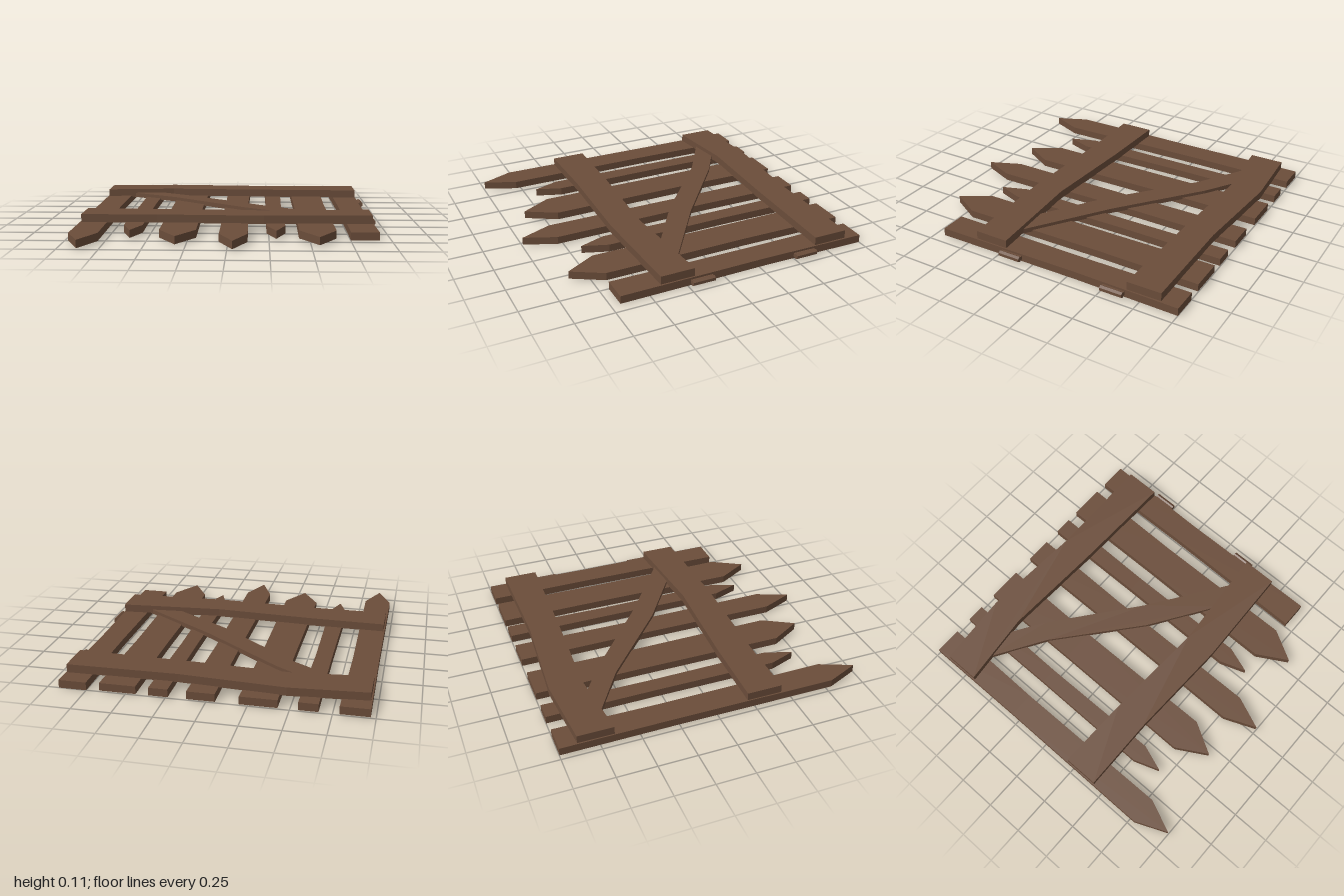
import * as THREE from 'three';

export function createModel() {
  const gate = new THREE.Group();
  gate.name = 'woodenGate';
  const wood = new THREE.MeshStandardMaterial({ color: 0x6b4d3a });
  wood.name = 'brownWood';

  // Flat board lying down: outline as [x, z] pairs, from height y0 to y1
  function board(name, outline, y0, y1) {
    const shape = new THREE.Shape(outline.map(([x, z]) => new THREE.Vector2(x, -z)));
    const geo = new THREE.ExtrudeGeometry(shape, { depth: y1 - y0, bevelEnabled: false });
    geo.rotateX(-Math.PI / 2).translate(0, y0, 0);
    const mesh = new THREE.Mesh(geo, wood);
    mesh.name = name;
    gate.add(mesh);
  }

  // Pointed pickets, slightly waisted: left edge, right edge, shoulder z, tip z
  const pickets = [
    [-0.97, -0.79, 0.785, 0.995],
    [-0.67, -0.55, 0.52, 0.69],
    [-0.43, -0.2, 0.67, 0.87],
    [-0.055, 0.12, 0.785, 0.995],
    [0.235, 0.355, 0.52, 0.69],
    [0.435, 0.665, 0.67, 0.87],
  ];
  pickets.forEach(([a, b, shoulder, tip], i) => {
    board('picket' + (i + 1), [
      [a, -1], [a + 0.004, -0.3], [a, shoulder], [(a + b) / 2, tip],
      [b, shoulder], [b - 0.009, -0.3], [b, -1],
    ], 0.01, 0.06);
  });

  // Square-ended board on the hinge side
  board('hingeBoard', [
    [0.75, -1], [0.757, -0.3], [0.752, 0.69], [0.927, 0.69], [0.917, -0.3], [0.927, -1],
  ], 0.003, 0.054);

  // Crooked cross rails and the diagonal brace
  board('rearRail', [
    [-0.96, -0.89], [-0.47, -0.925], [0.2, -0.88], [0.917, -0.887],
    [0.917, -0.66], [0.2, -0.68], [-0.47, -0.712], [-0.96, -0.66],
  ], 0.057, 0.111);
  board('frontRail', [
    [-0.96, 0.2], [-0.47, 0.212], [0.22, 0.25], [0.917, 0.2],
    [0.917, 0.427], [0.22, 0.45], [-0.47, 0.425], [-0.96, 0.43],
  ], 0.057, 0.111);
  board('diagonalBrace', [
    [-0.58, -0.725], [-0.34, -0.57], [0.2, -0.14], [0.74, 0.235],
    [0.53, 0.255], [0.1, -0.03], [-0.43, -0.475], [-0.79, -0.7],
  ], 0.05, 0.082);

  // Hinge barrels with a small leaf against the board
  for (const z of [-0.575, 0.155]) {
    const hinge = new THREE.Group();
    hinge.name = z < 0 ? 'rearHinge' : 'frontHinge';
    const barrel = new THREE.Mesh(
      new THREE.CylinderGeometry(0.019, 0.019, 0.15, 6).toNonIndexed().rotateX(Math.PI / 2), wood);
    barrel.geometry.computeVertexNormals();
    barrel.name = 'hingeBarrel';
    barrel.position.set(0.944, 0.028, z);
    const leaf = new THREE.Mesh(new THREE.BoxGeometry(0.03, 0.025, 0.15), wood);
    leaf.name = 'hingeLeaf';
    leaf.position.set(0.924, 0.028, z);
    hinge.add(barrel, leaf);
    gate.add(hinge);
  }
  return gate;
}
